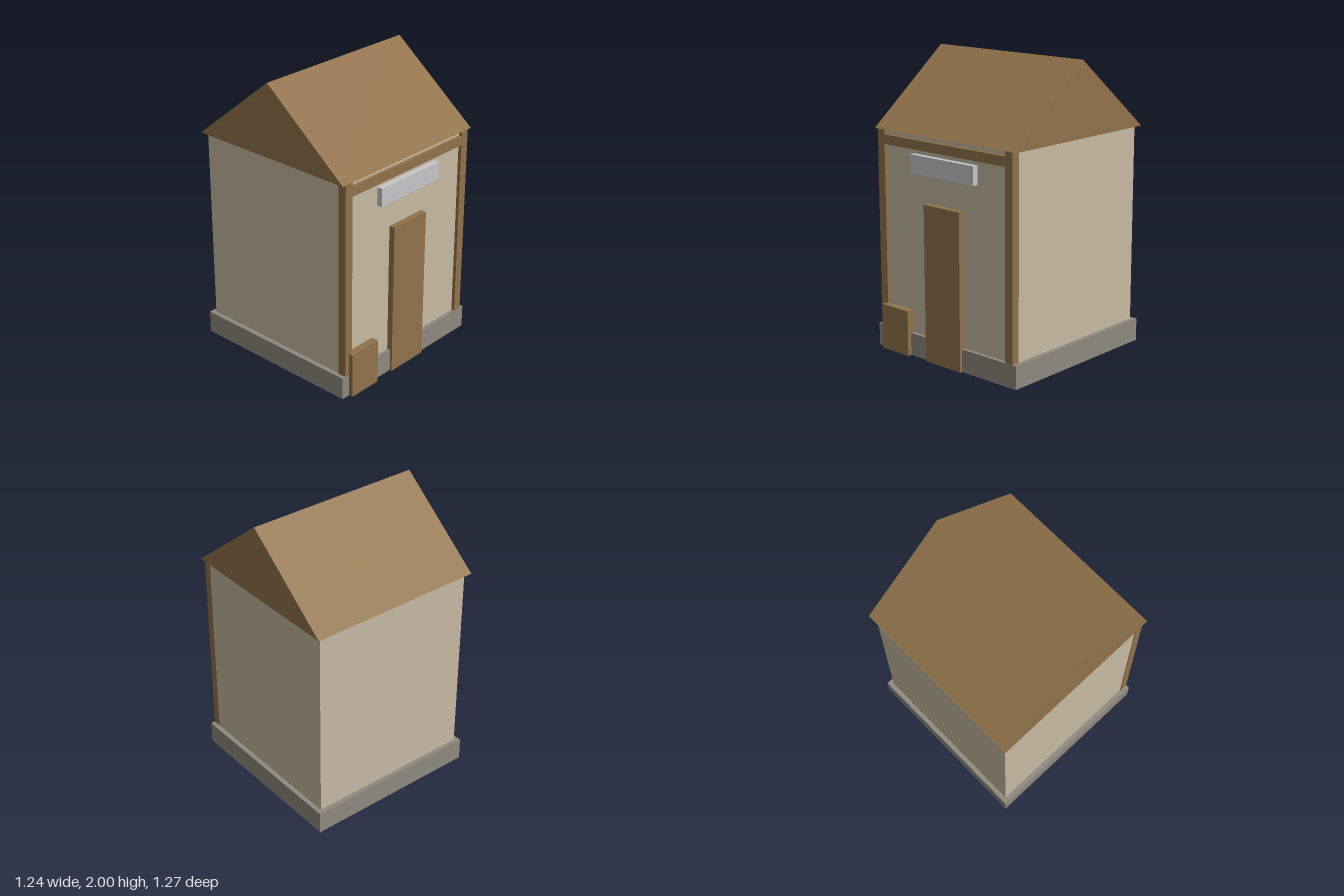
import * as THREE from 'three';

const material = (name, color) => {
  const m = new THREE.MeshStandardMaterial({ color });
  m.name = name;
  return m;
};

export function createModel() {
  const wood = material('brown wood', 0x90724a);
  const plaster = material('beige plaster', 0xc5b9a2);
  const stone = material('grey stone', 0x8f897f);
  const pale = material('pale grey', 0xc7c7c9);

  const house = new THREE.Group();
  house.name = 'house';

  // Box given by its lower and upper corners
  function box(name, mat, [x0, y0, z0], [x1, y1, z1]) {
    const mesh = new THREE.Mesh(new THREE.BoxGeometry(x1 - x0, y1 - y0, z1 - z0), mat);
    mesh.position.set((x0 + x1) / 2, (y0 + y1) / 2, (z0 + z1) / 2);
    mesh.name = name;
    house.add(mesh);
  }

  // Plinth and walls
  box('foundation', stone, [-0.622, 0.001, -0.635], [0.622, 0.156, 0.61]);
  box('walls', plaster, [-0.59, 0.1, -0.604], [0.59, 1.505, 0.585]);

  // Timber frame on the front
  for (const [name, x] of [['rightPost', -0.564], ['leftPost', 0.561]]) {
    box(name, wood, [x - 0.031, 0.1, 0.55], [x + 0.031, 1.505, 0.608]);
  }
  box('crossBeam', wood, [-0.54, 1.406, 0.55], [0.54, 1.47, 0.608]);

  // Door, sign board and crate
  box('door', wood, [-0.157, 0, 0.58], [0.157, 1.063, 0.626]);
  box('signBoard', pale, [-0.28, 1.252, 0.58], [0.28, 1.376, 0.623]);
  box('crate', wood, [-0.56, 0, 0.388], [-0.313, 0.312, 0.638]);

  // Gable roof: triangle in the z-y plane, extruded along x
  const gable = new THREE.Shape([
    new THREE.Vector2(-0.61, 1.502),
    new THREE.Vector2(0.635, 1.502),
    new THREE.Vector2(0.0125, 2),
  ]);
  const roofGeometry = new THREE.ExtrudeGeometry(gable, { depth: 1.244, bevelEnabled: false });
  roofGeometry.translate(0, 0, -0.622).rotateY(Math.PI / 2);
  const roof = new THREE.Mesh(roofGeometry, wood);
  roof.name = 'roof';
  house.add(roof);

  return house;
}
